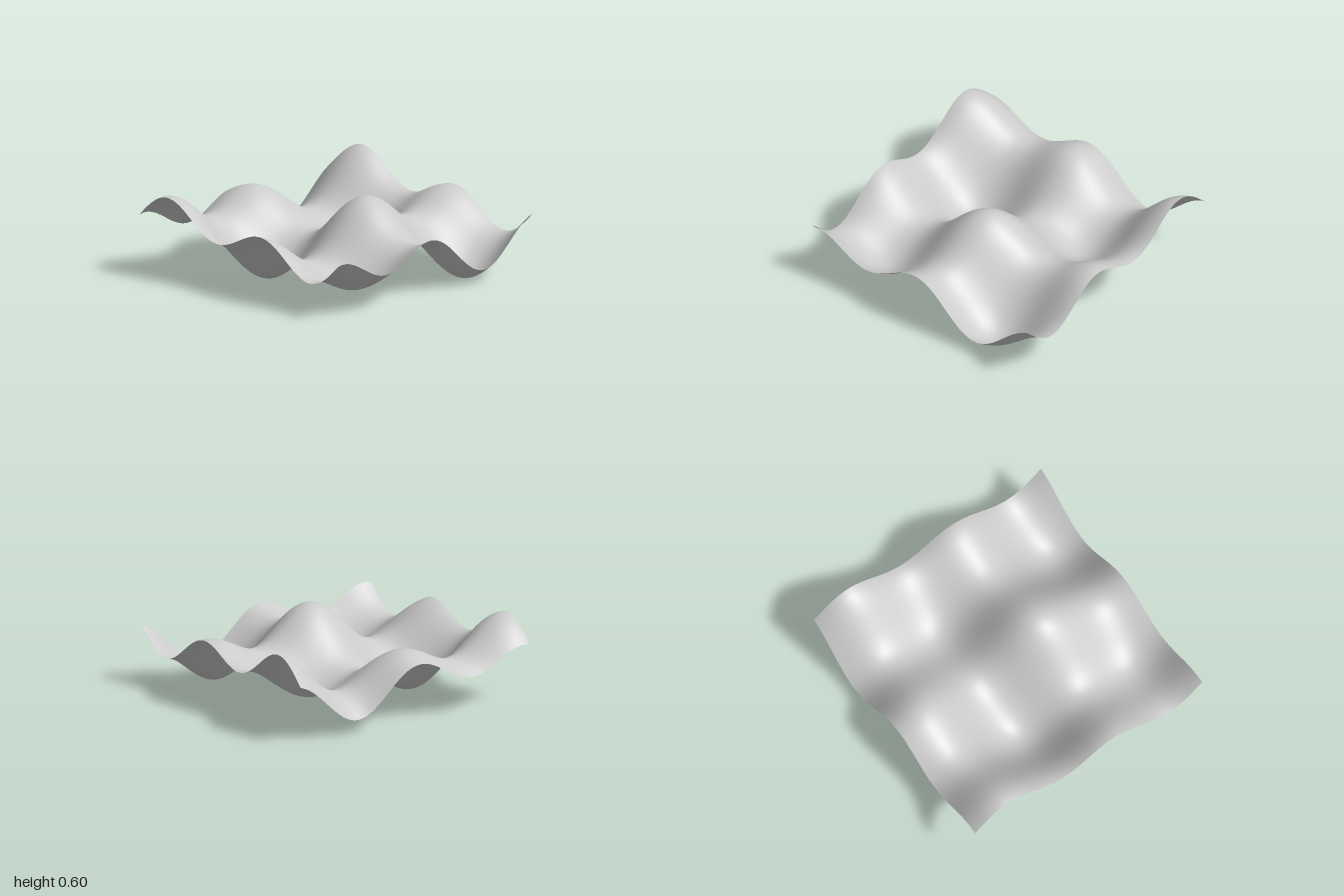
import * as THREE from 'three';

// Height of the sheet: one wave along x, one along z and a longer diagonal swell
function height(x, z) {
  return 0.303
    + 0.12 * Math.sin(2 * Math.PI * x)
    + 0.12 * Math.cos(2 * Math.PI * z)
    + 0.08 * Math.sin(Math.PI * (x - z));
}

export function createModel() {
  const group = new THREE.Group();
  group.name = 'wavySurface';

  // Flat grid laid on the ground, then lifted by the height rule
  const geometry = new THREE.PlaneGeometry(2, 2, 96, 96);
  geometry.rotateX(-Math.PI / 2);
  const position = geometry.attributes.position;
  for (let i = 0; i < position.count; i++) {
    position.setY(i, height(position.getX(i), position.getZ(i)));
  }
  geometry.computeVertexNormals();

  const material = new THREE.MeshStandardMaterial({ color: 0xcccccc, side: THREE.DoubleSide });
  const sheet = new THREE.Mesh(geometry, material);
  sheet.name = 'waveSheet';
  group.add(sheet);
  return group;
}
